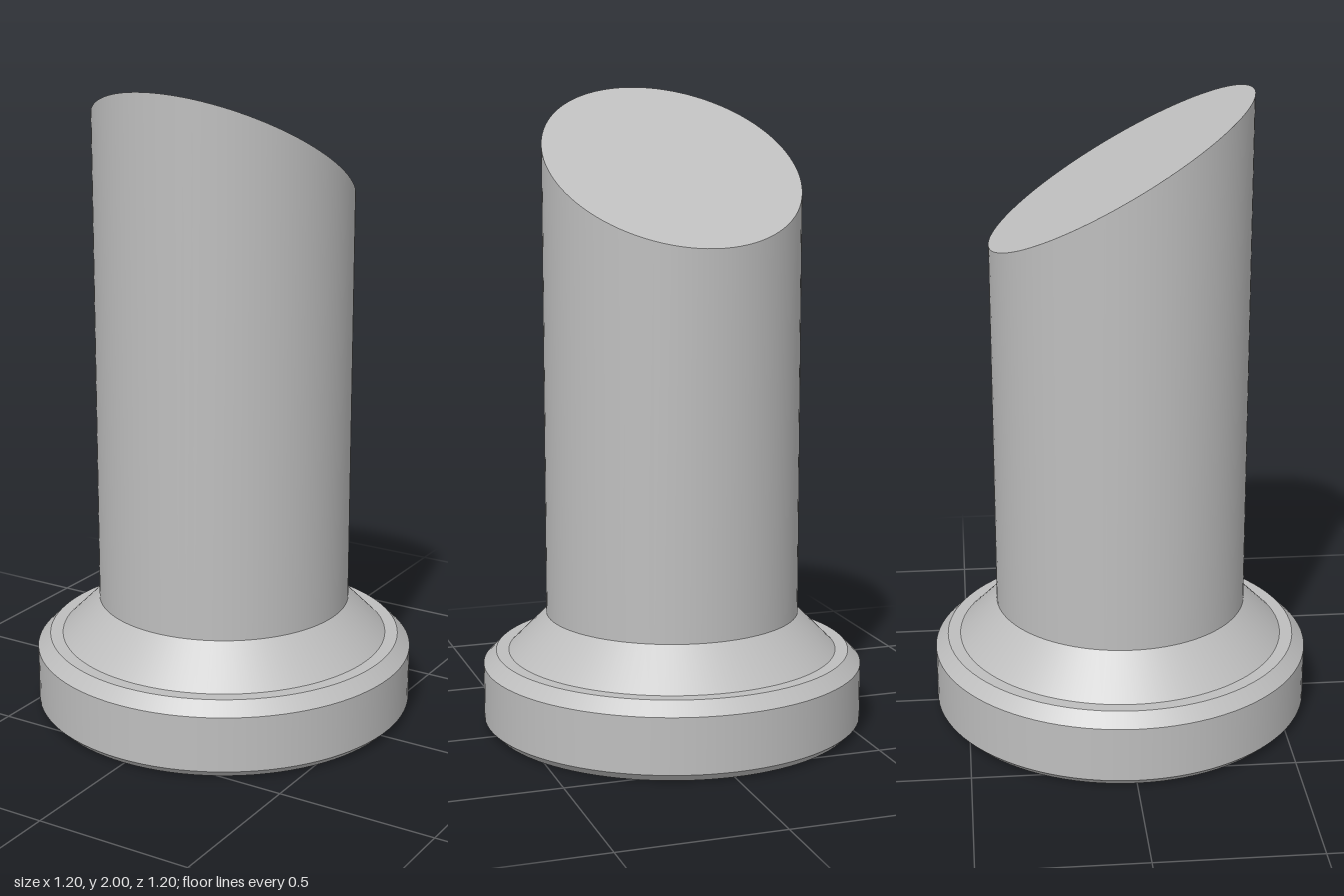
import * as THREE from 'three';

const SEGMENTS = 96;

// Closed outline from [x, z] pairs
const outline = (pts) => new THREE.Shape(pts.map(([x, z]) => new THREE.Vector2(x, z)));

// Chevron pointing to the front, with its tip at z = t
const chevron = (t) => outline([
  [0, t], [-0.13, t - 0.13], [-0.105, t - 0.155],
  [0, t - 0.05], [0.105, t - 0.155], [0.13, t - 0.13],
]);

export function createModel() {
  const group = new THREE.Group();
  const grey = new THREE.MeshStandardMaterial({ color: 0xbebebe });
  grey.name = 'grey';

  const add = (name, geometry) => {
    const mesh = new THREE.Mesh(geometry, grey);
    mesh.name = name;
    group.add(mesh);
    return mesh;
  };

  // Base: one band per profile segment keeps the edges between them sharp
  const profile = [[0.575, 0], [0.6, 0.025], [0.6, 0.2], [0.56, 0.24], [0.52, 0.24], [0.4, 0.36]];
  const names = ['bottomChamfer', 'baseRim', 'topChamfer', 'baseLedge', 'neckCone'];
  names.forEach((name, i) => {
    const pts = [profile[i], profile[i + 1]].map(([r, y]) => new THREE.Vector2(r, y));
    add(name, new THREE.LatheGeometry(pts, SEGMENTS));
  });

  // Post: cylinder whose top is cut at 30 degrees, high at the front
  const post = new THREE.CylinderGeometry(0.4, 0.4, 1, SEGMENTS);
  const slope = Math.tan(Math.PI / 6);
  const pos = post.attributes.position;
  const nor = post.attributes.normal;
  const cutNormal = new THREE.Vector3(0, 1, -slope).normalize();
  for (let i = 0; i < pos.count; i++) {
    const top = pos.getY(i) > 0;
    pos.setY(i, top ? 2 - (0.4 - pos.getZ(i)) * slope : 0.36);
    if (nor.getY(i) > 0.5) nor.setXYZ(i, cutNormal.x, cutNormal.y, cutNormal.z);
  }
  add('slantedPost', post);

  // Underside with engraved direction marks
  const depth = 0.03;
  const marks = [
    chevron(-0.03),
    chevron(0.12),
    outline([[-0.12, 0.15], [0.12, 0.15], [0.12, 0.19], [-0.12, 0.19]]),
  ];
  const disc = new THREE.Shape().absarc(0, 0, 0.575, 0, Math.PI * 2);
  disc.holes.push(...marks);
  const plate = new THREE.ExtrudeGeometry(disc, { depth, bevelEnabled: false, curveSegments: SEGMENTS / 2 });
  add('underside', plate.rotateX(Math.PI / 2).translate(0, depth, 0));
  add('markFloors', new THREE.ShapeGeometry(marks).rotateX(Math.PI / 2).translate(0, depth, 0));

  return group;
}
